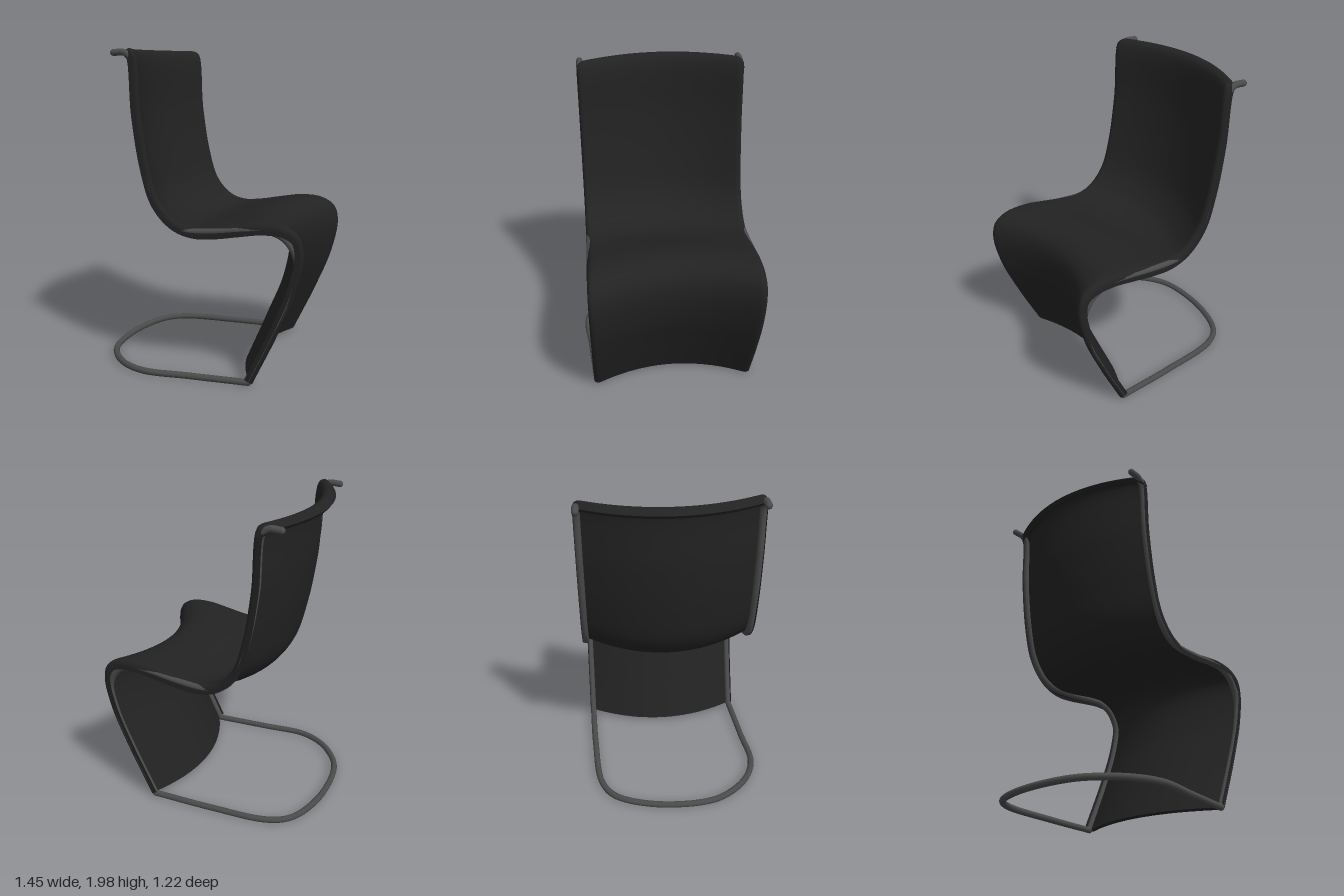
import * as THREE from 'three';
import { toCreasedNormals } from 'three/addons/utils/BufferGeometryUtils.js';

const HALF_WIDTH = 0.53, THICKNESS = 0.025, EDGE_RADIUS = 0.045, TUBE = 0.02;

// side profiles of the shell (forward, up), from the rear lip down to the floor
const EDGE = [[-0.45, 1.955], [-0.41, 1.985], [-0.368, 1.965], [-0.337, 1.6], [-0.288, 1.29], [-0.225, 1.095],
  [-0.125, 0.99], [-0.02, 0.957], [0.1, 0.963], [0.25, 0.988], [0.4, 1.01], [0.54, 1.0], [0.63, 0.945],
  [0.66, 0.84], [0.62, 0.62], [0.51, 0.34], [0.36, 0.02]];
const MIDDLE = [[-0.61, 1.955], [-0.57, 1.985], [-0.525, 1.965], [-0.497, 1.6], [-0.45, 1.29], [-0.385, 1.06],
  [-0.27, 0.93], [-0.13, 0.9], [0.0, 0.925], [0.13, 0.963], [0.25, 0.99], [0.37, 0.985], [0.445, 0.93],
  [0.475, 0.83], [0.44, 0.6], [0.335, 0.33], [0.205, 0.02]];
// tube running under each edge of the shell
const RAIL = [[-0.52, 1.96], [-0.45, 1.96], [-0.413, 1.925], [-0.388, 1.6], [-0.334, 1.286], [-0.25, 1.037],
  [-0.18, 0.963], [-0.09, 0.928], [0.09, 0.933], [0.3, 0.958], [0.42, 0.963], [0.53, 0.92], [0.6, 0.8],
  [0.568, 0.6], [0.46, 0.333], [0.316, 0.028]];
// floor loop (forward, side)
const BASE = [[0.316, 0.51], [-0.058, 0.54], [-0.348, 0.56], [-0.522, 0.485], [-0.658, 0.324], [-0.702, 0.169],
  [-0.689, -0.136], [-0.598, -0.368], [-0.465, -0.454], [-0.07, -0.495], [0.316, -0.51]];

const curve = (pts) => new THREE.CatmullRomCurve3(pts.map((p) => new THREE.Vector3(...p)));

// closed slab lofted between the edge and middle profiles
function shellGeometry() {
  const edge = curve(EDGE.map(([u, y]) => [u, y, 0]));
  const middle = curve(MIDDLE.map(([u, y]) => [u, y, 0]));
  const rows = (EDGE.length - 1) * 7;

  // stations across the width, denser at the rounded edges
  const across = [];
  for (let j = 0; j <= 6; j++) across.push(-HALF_WIDTH + EDGE_RADIUS * (1 - Math.cos(j / 6 * Math.PI / 2)));
  for (let j = 1; j <= 20; j++) across.push((HALF_WIDTH - EDGE_RADIUS) * (j / 10 - 1));
  for (let j = 1; j <= 6; j++) across.push(HALF_WIDTH - EDGE_RADIUS * (1 - Math.sin(j / 6 * Math.PI / 2)));
  const n = across.length, loop = 2 * n;

  const positions = [], index = [];
  const e = new THREE.Vector3(), m = new THREE.Vector3();
  const at = (t, k) => {
    edge.getPoint(t, e);
    middle.getPoint(t, m);
    return e.clone().lerp(m, k);
  };
  for (let i = 0; i <= rows; i++) {
    const t = i / rows, top = [], bottom = [];
    for (const s of across) {
      const k = 1 - (s / HALF_WIDTH) ** 2;
      const p = at(t, k);
      const d = at(Math.min(1, t + 0.002), k).sub(at(Math.max(0, t - 0.002), k)).normalize();
      const a = Math.max(0, EDGE_RADIUS - (HALF_WIDTH - Math.abs(s)));
      const drop = EDGE_RADIUS - Math.sqrt(Math.max(0, EDGE_RADIUS ** 2 - a * a));
      const place = (o) => [p.x + d.y * o, p.y - d.x * o, s];
      top.push(place(drop));
      bottom.unshift(place(drop + THICKNESS));
    }
    positions.push(...top.flat(), ...bottom.flat());
  }
  for (let i = 0; i < rows; i++) {
    for (let j = 0; j < loop; j++) {
      const a = i * loop + j, b = i * loop + (j + 1) % loop;
      index.push(a, b, a + loop, b, b + loop, a + loop);
    }
  }
  // end faces at the lip and the floor
  for (let j = 0; j < n - 1; j++) {
    const a = j, b = j + 1, c = loop - 1 - j, d = loop - 2 - j, o = rows * loop;
    index.push(a, c, b, b, c, d, o + a, o + b, o + c, o + b, o + d, o + c);
  }
  const g = new THREE.BufferGeometry();
  g.setAttribute('position', new THREE.Float32BufferAttribute(positions, 3));
  g.setIndex(index);
  return toCreasedNormals(g, 0.8);
}

export function createModel() {
  const model = new THREE.Group();
  const chair = new THREE.Group();
  chair.name = 'cantileverChair';
  chair.rotation.y = -0.1536;
  model.add(chair);

  const black = new THREE.MeshStandardMaterial({ color: 0x222222, side: THREE.DoubleSide });
  const steel = new THREE.MeshStandardMaterial({ color: 0x4a4a4a });
  const add = (name, geometry, material, position = [0, 0, 0]) => {
    const mesh = new THREE.Mesh(geometry, material);
    mesh.name = name;
    mesh.position.set(...position);
    chair.add(mesh);
  };

  add('seatShell', shellGeometry(), black);

  // side rails, with rounded ends at the top and at the floor corner
  for (const [side, name] of [[1, 'nearSide'], [-1, 'farSide']]) {
    const path = curve(RAIL.map(([u, y]) => [u, y, side * 0.51]));
    add(name + 'Rail', new THREE.TubeGeometry(path, 160, TUBE, 12), steel);
    for (const [end, part] of [[0, 'RailCap'], [1, 'FloorJoint']]) {
      add(name + part, new THREE.SphereGeometry(TUBE, 14, 10), steel, path.getPoint(end).toArray());
    }
  }

  // floor loop joining the two rails
  add('floorLoop', new THREE.TubeGeometry(curve(BASE.map(([u, s]) => [u, 0.028, s])), 140, TUBE, 12), steel);

  return model;
}
